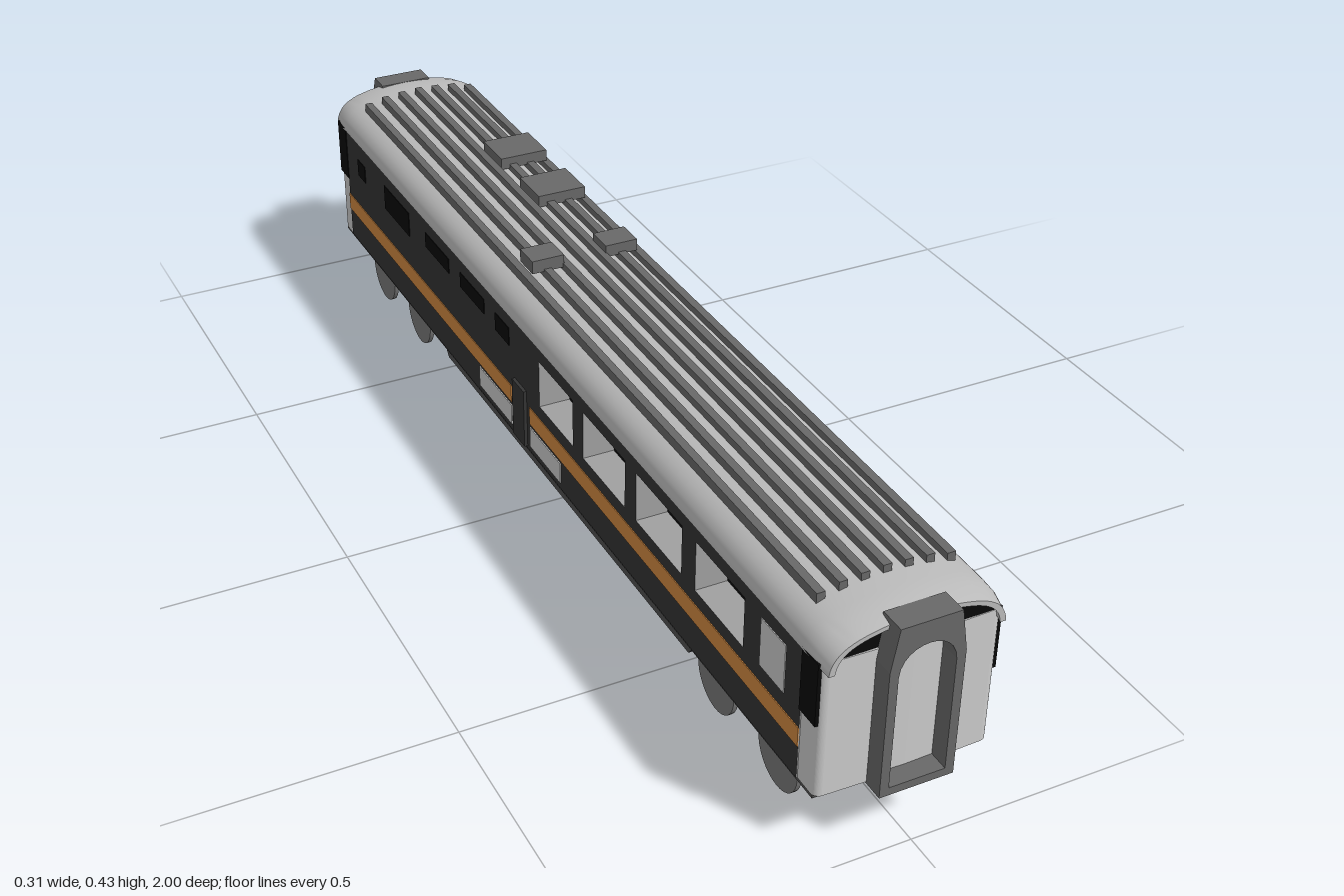
import * as THREE from 'three';
import { toCreasedNormals } from 'three/addons/utils/BufferGeometryUtils.js';

const mat = (color) => new THREE.MeshStandardMaterial({ color });
const M = {
  light: mat(0xcccccc), roof: mat(0xbbbbbb), dark: mat(0x343434), black: mat(0x080808),
  orange: mat(0xd08840), grey: mat(0x686868), under: mat(0x505050), wheel: mat(0x787878), sill: mat(0xa0a0a0),
};
const V = (x, y) => new THREE.Vector2(x, y);

export function createModel() {
  const root = new THREE.Group();
  const add = (name, geo, material, x = 0, y = 0, z = 0) => {
    const m = new THREE.Mesh(geo, material);
    m.name = name;
    m.position.set(x, y, z);
    root.add(m);
    return m;
  };
  // box given by its limits on each axis
  const box = (name, material, x0, x1, y0, y1, z0, z1) =>
    add(name, new THREE.BoxGeometry(Math.abs(x1 - x0), Math.abs(y1 - y0), Math.abs(z1 - z0)), material,
      (x0 + x1) / 2, (y0 + y1) / 2, (z0 + z1) / 2);
  const rect = (a, b, c, d) => [V(a, c), V(b, c), V(b, d), V(a, d)];
  const extrude = (shape, depth, opts = {}) =>
    new THREE.ExtrudeGeometry(shape, { depth, bevelEnabled: false, curveSegments: 12, ...opts });

  // roof arch, an open curve from right to left
  const half = [[0.15, 0.342], [0.146, 0.358], [0.134, 0.375], [0.112, 0.388], [0.08, 0.397], [0.04, 0.403]];
  const archCurve = new THREE.SplineCurve([
    ...half.map(([x, y]) => V(x, y)), V(0, 0.405), ...half.slice().reverse().map(([x, y]) => V(-x, y))]);
  const arch = archCurve.getPoints(36);
  const roofY = (x) => arch.reduce((a, p) => (Math.abs(p.x - x) < Math.abs(a.x - x) ? p : a)).y;

  // roof shell, narrowed and lowered slightly at both ends
  const inner = arch.map((p) => V(p.x * 0.93, 0.342 + (p.y - 0.342) * 0.88)).reverse();
  let roofGeo = extrude(new THREE.Shape([...arch, ...inner]), 1.95, { steps: 65 });
  roofGeo.translate(0, 0, -0.975);
  const pos = roofGeo.attributes.position;
  for (let i = 0; i < pos.count; i++) {
    const t = Math.max(0, (Math.abs(pos.getZ(i)) - 0.925) / 0.05);
    pos.setX(i, pos.getX(i) * (1 - 0.04 * t * t));
    pos.setY(i, pos.getY(i) - 0.008 * t * t);
  }
  roofGeo = toCreasedNormals(roofGeo, 0.6);
  add('roof', roofGeo, M.roof);

  // dark core closing the ends under the roof
  const core = arch.map((p) => V(p.x * 0.94, 0.342 + (p.y - 0.342) * 0.9));
  add('roofEndPanels', extrude(new THREE.Shape(core), 1.924), M.black, 0, 0, -0.962);

  // roof ribs
  for (let i = -3; i <= 3; i++) {
    const x = i * 0.0355, y = roofY(x);
    box('roofRib', M.grey, x - 0.007, x + 0.007, y - 0.01, y + 0.013, -0.885, 0.885);
  }
  // roof equipment
  for (const [x0, x1, z0, z1, top] of [
    [0.012, 0.104, -0.575, -0.49, 0.43], [0.012, 0.104, -0.405, -0.32, 0.43],
    [0.04, 0.1, -0.15, -0.098, 0.43], [-0.1, -0.04, -0.15, -0.098, 0.432]])
    box('roofUnit', M.grey, x0, x1, 0.408, top, z0, z1);

  // floor
  box('floor', M.under, -0.145, 0.145, 0.1, 0.108, -0.955, 0.955);

  // side walls with deep window openings: [z0, z1, y0, y1]
  const windows = [[0.6, 0.75], [0.4, 0.555], [0.205, 0.36], [0.03, 0.165]];
  const plates = {
    1: [
      [M.light, -0.355, -0.295, 0.27, 0.315], [M.light, -0.05, -0.003, 0.23, 0.315],
      [M.black, -0.61, -0.5, 0.295, 0.315], [M.black, -0.775, -0.665, 0.295, 0.315]],
    '-1': [
      [M.black, -0.85, -0.81, 0.27, 0.305], [M.black, -0.7, -0.57, 0.265, 0.315],
      [M.black, -0.485, -0.37, 0.285, 0.315], [M.black, -0.315, -0.205, 0.285, 0.315],
      [M.black, -0.155, -0.095, 0.28, 0.315]],
  };
  for (const s of [1, -1]) {
    const wall = new THREE.Shape(rect(-0.915, 0.915, 0.107, 0.35));
    for (const [a, b] of windows) wall.holes.push(new THREE.Path(rect(-b, -a, 0.225, 0.315)));
    const wallGeo = extrude(wall, 0.058).rotateY(Math.PI / 2);
    add('sideWall', wallGeo, [M.dark, M.sill], s > 0 ? 0.09 : -0.148);
    box('windowPanes', M.black, s * 0.085, s * 0.092, 0.2, 0.34, 0.01, 0.78);
    // stripe, interrupted by the door
    box('stripe', M.orange, s * 0.14, s * 0.1495, 0.166, 0.2, -0.012, 0.915);
    box('stripe', M.orange, s * 0.14, s * 0.1495, 0.166, 0.2, -0.915, -0.09);
    // door panel and pale lower panels
    box('doorPanel', M.dark, s * 0.14, s * 0.154, 0.112, 0.225, -0.075, -0.025);
    box('lowerPanel', M.light, s * 0.14, s * 0.15, 0.12, 0.16, -0.01, 0.115);
    box('lowerPanel', M.light, s * 0.14, s * 0.15, 0.12, 0.16, -0.235, -0.09);
    box('sidePlate', M.light, s * 0.14, s * 0.1495, 0.23, 0.315, 0.8, 0.87);
    for (const [m, z0, z1, y0, y1] of plates[s]) box('sidePlate', m, s * 0.14, s * 0.1495, y0, y1, z0, z1);
  }

  for (const e of [1, -1]) {
    // end body with rounded corners in plan
    const plan = new THREE.Shape();
    plan.moveTo(-0.146, 0.9);
    plan.lineTo(0.146, 0.9);
    plan.lineTo(0.146, 0.948);
    plan.quadraticCurveTo(0.146, 0.961, 0.134, 0.963);
    plan.lineTo(0, 0.967);
    plan.lineTo(-0.134, 0.963);
    plan.quadraticCurveTo(-0.146, 0.961, -0.146, 0.948);
    const endGeo = extrude(plan, 0.241).rotateX(-Math.PI / 2);
    const end = add('endWall', endGeo, M.light, 0, 0.107, 0);
    end.rotation.y = e > 0 ? Math.PI : 0;
    for (const s of [1, -1])
      box('endSidePanel', M.black, s * 0.14, s * 0.1495, 0.235, 0.345, e * 0.913, e * 0.957);

    // gangway frame
    const frame = new THREE.Shape([
      V(-0.062, 0.104), V(0.062, 0.104), V(0.062, 0.33), V(0.05, 0.402), V(-0.05, 0.402), V(-0.062, 0.33)]);
    const hole = new THREE.Path();
    hole.moveTo(-0.047, 0.118);
    hole.lineTo(0.047, 0.118);
    hole.lineTo(0.047, 0.318);
    hole.bezierCurveTo(0.044, 0.378, -0.044, 0.378, -0.047, 0.318);
    hole.closePath();
    frame.holes.push(hole);
    add('gangwayFrame', extrude(frame, 0.045), M.grey, 0, 0, e > 0 ? 0.955 : -1);

    // bogie
    box('bogieFrame', M.grey, -0.058, 0.058, 0.035, 0.079, e * 0.6, e * 0.84);
    add('bogiePivot', new THREE.CylinderGeometry(0.034, 0.034, 0.03, 24), M.under, 0, 0.09, e * 0.72);
    for (const z of [0.815, 0.622]) {
      add('axle', new THREE.CylinderGeometry(0.006, 0.006, 0.225, 12).rotateZ(Math.PI / 2), M.grey, 0, 0.058, e * z);
      for (const s of [1, -1])
        add('wheel', new THREE.CylinderGeometry(0.058, 0.058, 0.008, 32).rotateZ(Math.PI / 2),
          M.wheel, s * 0.115, 0.058, e * z);
    }
  }

  // tapered underfloor box
  const skirt = new THREE.Shape([V(-0.505, 0.02), V(0.505, 0.02), V(0.575, 0.105), V(-0.575, 0.105)]);
  add('underfloorBox', extrude(skirt, 0.21).rotateY(Math.PI / 2), M.under, -0.105);

  return root;
}
